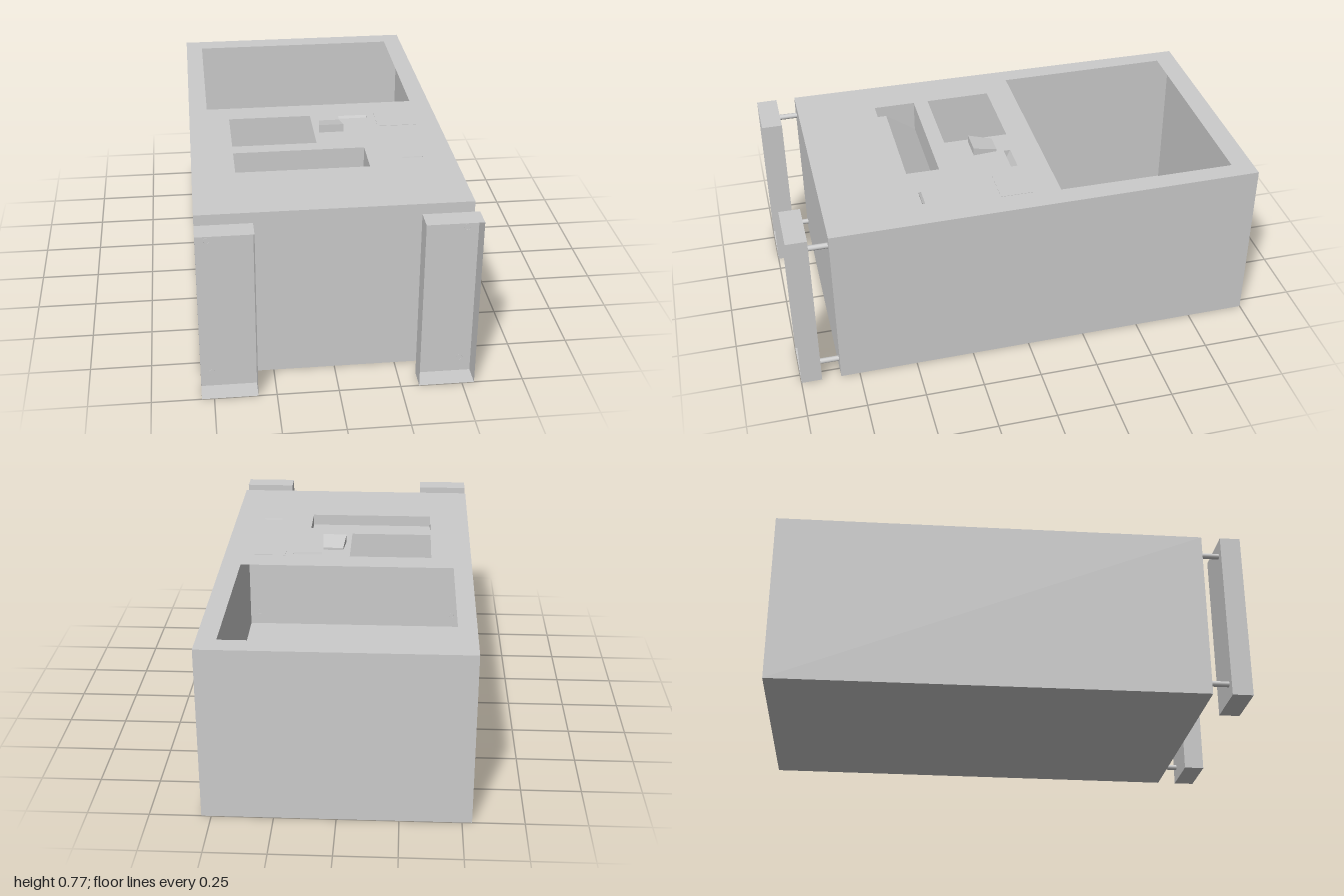
import * as THREE from 'three';
import { mergeGeometries } from 'three/addons/utils/BufferGeometryUtils.js';

const H = 0.74; // height of the top panel

export function createModel() {
  const model = new THREE.Group();
  const grey = new THREE.MeshStandardMaterial({ color: 0xcccccc, side: THREE.DoubleSide });
  grey.name = 'lightGrey';

  const add = (name, geometry, parent = model) => {
    const mesh = new THREE.Mesh(geometry, grey);
    mesh.name = name;
    parent.add(mesh);
    return mesh;
  };

  // Flat-shaded sheet faces, each given as four corners counter-clockwise from outside
  const sheets = (...quads) => {
    const parts = quads.map((q) => {
      const g = new THREE.BufferGeometry();
      const corners = [0, 1, 2, 0, 2, 3].flatMap((i) => q[i]);
      g.setAttribute('position', new THREE.Float32BufferAttribute(corners, 3));
      g.computeVertexNormals();
      return g;
    });
    return mergeGeometries(parts);
  };

  // Hollow cabinet: four walls and a base, slightly narrower at the back
  const outline = [[-0.55, 0.83], [0.55, 0.83], [0.54, -1], [-0.54, -1]];
  const at = ([x, z], y) => [x, y, z];
  const walls = outline.map((p, i) => {
    const q = outline[(i + 1) % 4];
    return [at(p, 0), at(q, 0), at(q, H), at(p, H)];
  });
  const base = [...outline].reverse().map((p) => at(p, 0));
  add('cabinet', sheets(...walls, base));

  // Top panel with openings [x0, x1, z0, z1]
  const flat = ([x, z]) => new THREE.Vector2(x, -z);
  const top = new THREE.Shape(outline.map(flat));
  const openings = [
    [-0.465, 0.46, -0.91, -0.155], // display window
    [-0.37, -0.01, -0.04, 0.24], // side window
    [-0.37, 0.185, 0.305, 0.485], // delivery tray
    [0.115, 0.24, -0.025, 0.004], // slot
    [0.33, 0.415, 0.412, 0.424], // small slot
  ];
  for (const [x0, x1, z0, z1] of openings) {
    top.holes.push(new THREE.Path([[x0, z0], [x0, z1], [x1, z1], [x1, z0]].map(flat)));
  }
  add('topPanel', new THREE.ShapeGeometry(top).rotateX(-Math.PI / 2).translate(0, H, 0));

  // Recess pressed into an opening: profile of [z, y] points swept across x, with end walls
  const recess = (name, x0, x1, profile) => {
    const strips = profile.slice(1).map(([z, y], i) => {
      const [pz, py] = profile[i];
      return [[x0, py, pz], [x0, y, z], [x1, y, z], [x1, py, pz]];
    });
    const side = new THREE.Shape(profile.map(([z, y]) => new THREE.Vector2(-z, y)));
    const ends = [x0, x1].map((x) =>
      new THREE.ShapeGeometry(side).rotateY(Math.PI / 2).translate(x, 0, 0));
    const group = new THREE.Group();
    group.name = name;
    add(name + 'Floor', sheets(...strips), group);
    ends.forEach((g) => add(name + 'End', g, group));
    model.add(group);
  };
  recess('deliveryTray', -0.37, 0.185, [[0.305, H], [0.305, 0.6], [0.435, 0.69], [0.485, 0.69], [0.485, H]]);
  recess('slot', 0.115, 0.24, [[-0.025, H], [-0.005, 0.7], [0.004, H]]);
  recess('smallSlot', 0.33, 0.415, [[0.412, H], [0.418, 0.72], [0.424, H]]);

  // Flush service plate
  add('servicePlate', new THREE.BoxGeometry(0.17, 0.003, 0.14).translate(0.36, H, 0.03));

  // Sloping button, wider and taller at the front
  const foot = [[0.012, 0.138], [0.118, 0.138], [0.11, 0.035], [0.022, 0.035]];
  const heights = [0.775, 0.775, 0.75, 0.75];
  const buttonSides = foot.map((p, i) => {
    const j = (i + 1) % 4;
    return [at(p, H), at(foot[j], H), at(foot[j], heights[j]), at(p, heights[i])];
  });
  add('button', sheets(...buttonSides, foot.map((p, i) => at(p, heights[i]))));

  // Two channel-shaped feet, open to the front, each on two round pins
  for (const s of [-1, 1]) {
    const leg = new THREE.Group();
    leg.name = s > 0 ? 'leftFoot' : 'rightFoot';
    const channel = new THREE.BoxGeometry(0.225, H, 0.088).toNonIndexed();
    const open = new THREE.BufferGeometry();
    for (const key of ['position', 'normal']) {
      const a = channel.attributes[key].array;
      // Leave out the +z face, the fifth of six
      const kept = [...a.slice(0, 72), ...a.slice(90)];
      open.setAttribute(key, new THREE.Float32BufferAttribute(kept, 3));
    }
    add('footChannel', open.translate(s * 0.4375, H / 2, 0.956), leg);
    for (const y of [0.065, 0.673]) {
      const pin = new THREE.CylinderGeometry(0.012, 0.012, 0.085, 12, 1, true);
      add('footPin', pin.rotateX(Math.PI / 2).translate(s * 0.505, y, 0.8705), leg);
    }
    model.add(leg);
  }

  return model;
}
